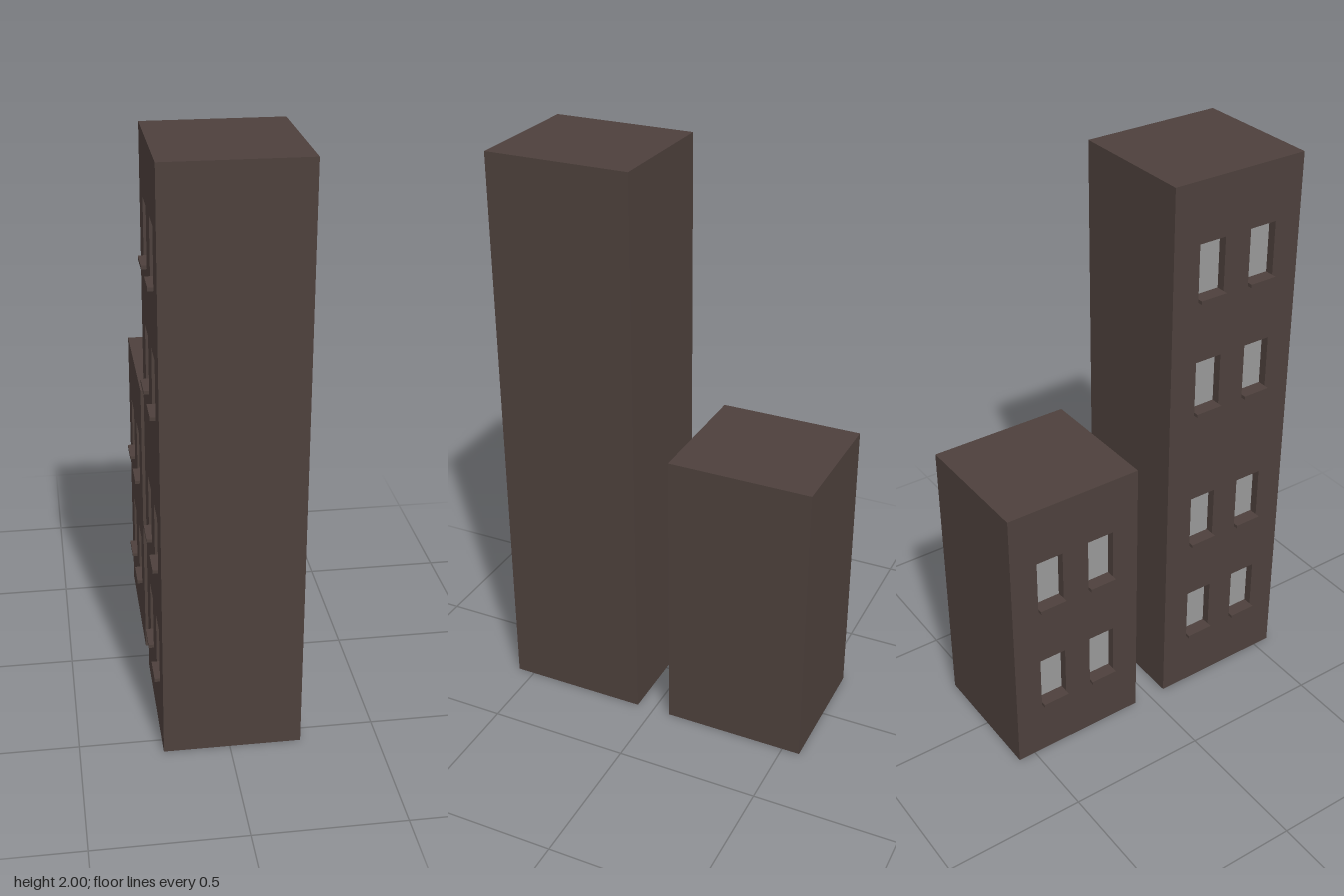
import * as THREE from 'three';

const X0 = -0.222, X1 = 0.24;      // windowed wall and blank wall
const DEPTH = 0.03;                // window recess
const WIN_W = 0.1, WIN_H = 0.2;
const SILL_T = 0.012;

const wallMat = new THREE.MeshStandardMaterial({ color: 0x4d403c });
const revealMat = new THREE.MeshStandardMaterial({ color: 0x4d403c, side: THREE.BackSide });
const glassMat = new THREE.MeshStandardMaterial({ color: 0x999999 });

// Box with some sides left out (0 +x, 1 -x, 2 +y, 3 -y, 4 +z, 5 -z)
function openBox(w, h, d, missing) {
  const geo = new THREE.BoxGeometry(w, h, d);
  const index = Array.from(geo.index.array).filter((_, i) => !missing.includes(Math.floor(i / 6)));
  geo.setIndex(index);
  geo.clearGroups();
  return geo;
}

function addMesh(group, name, geo, mat, x, y, z) {
  const mesh = new THREE.Mesh(geo, mat);
  mesh.name = name;
  mesh.position.set(x, y, z);
  group.add(mesh);
}

function createTower(name, height, z0, z1, rows) {
  const tower = new THREE.Group();
  tower.name = name;
  const zc = (z0 + z1) / 2;

  // Five plain sides
  addMesh(tower, 'walls', openBox(X1 - X0, height, z1 - z0, [1]), wallMat, (X0 + X1) / 2, height / 2, zc);

  // Windowed side, drawn in (z, y) and turned to face -x
  const shape = new THREE.Shape();
  shape.moveTo(z0, 0).lineTo(z1, 0).lineTo(z1, height).lineTo(z0, height).closePath();

  for (const y of rows) {
    for (const z of [zc - 0.1, zc + 0.1]) {
      const a = z - WIN_W / 2, b = z + WIN_W / 2, top = y + WIN_H;
      const hole = new THREE.Path();
      hole.moveTo(a, y).lineTo(a, top).lineTo(b, top).lineTo(b, y).closePath();
      shape.holes.push(hole);

      const yc = y + WIN_H / 2;
      addMesh(tower, 'windowReveal', openBox(DEPTH, WIN_H, WIN_W, [0, 1]), revealMat, X0 + DEPTH / 2, yc, z);
      const pane = new THREE.PlaneGeometry(WIN_W, WIN_H).rotateY(-Math.PI / 2);
      addMesh(tower, 'windowPane', pane, glassMat, X0 + DEPTH, yc, z);

      // Sill runs from the pane to just outside the wall
      const sillW = DEPTH + 0.018;
      addMesh(tower, 'windowSill', new THREE.BoxGeometry(sillW, SILL_T, WIN_W), wallMat,
        X0 + DEPTH - sillW / 2, y + SILL_T / 2, z);
    }
  }
  addMesh(tower, 'windowWall', new THREE.ShapeGeometry(shape).rotateY(-Math.PI / 2), wallMat, X0, 0, 0);
  return tower;
}

export function createModel() {
  const model = new THREE.Group();
  model.name = 'apartmentBlocks';
  const lowRows = [0.211, 0.63];
  const highRows = lowRows.map((y) => y + 0.96);
  model.add(
    createTower('tallTower', 2, 0.063, 0.563, [...lowRows, ...highRows]),
    createTower('shortTower', 1.04, -0.563, -0.063, lowRows),
  );
  return model;
}
